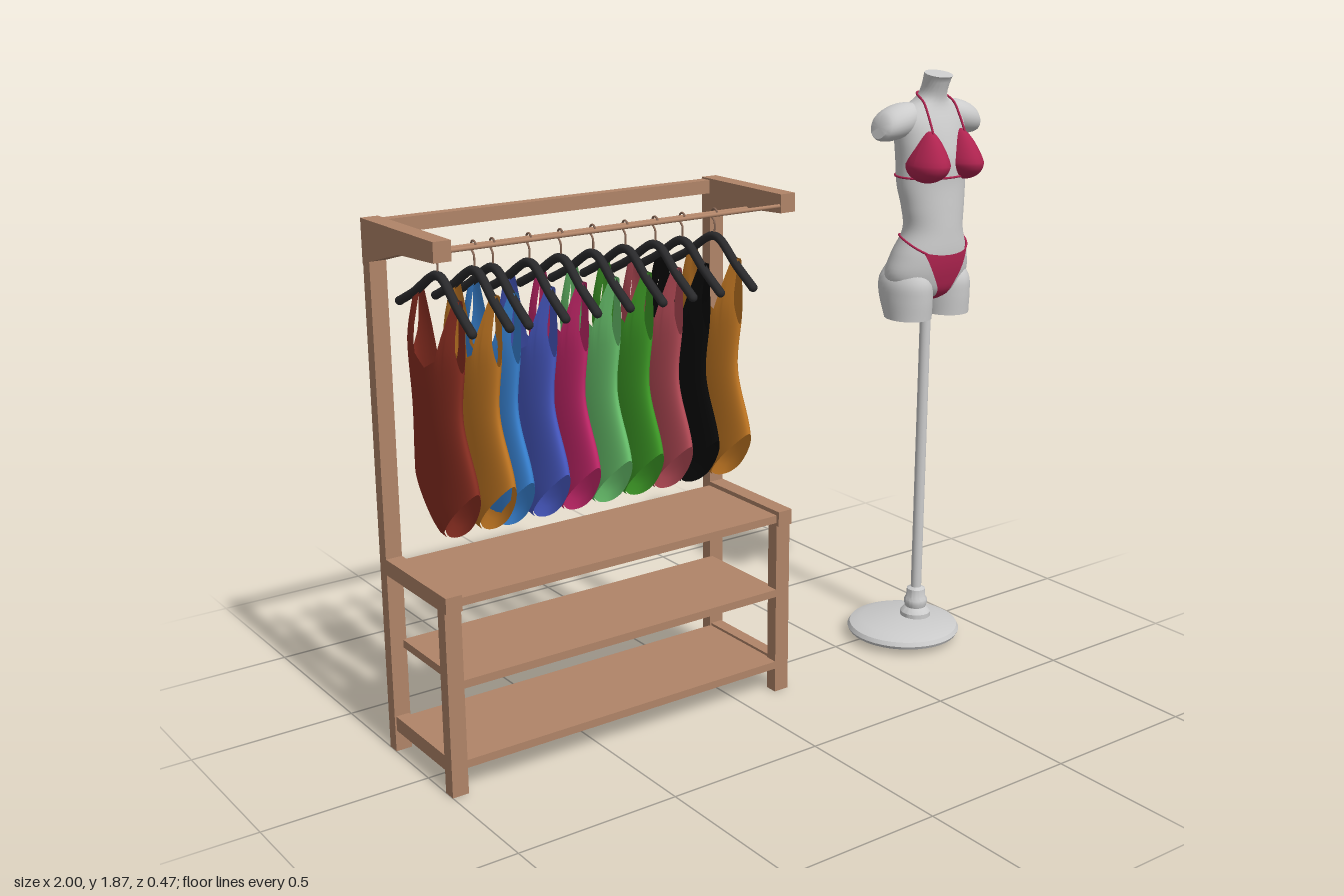
import * as THREE from 'three';
import { mergeVertices, toCreasedNormals } from 'three/addons/utils/BufferGeometryUtils.js';

const V = (x, y, z) => new THREE.Vector3(x, y, z);
const mat = (color, side = THREE.FrontSide) => new THREE.MeshStandardMaterial({ color, side });

function add(parent, name, geometry, material, x = 0, y = 0, z = 0) {
  const m = new THREE.Mesh(geometry, material);
  m.name = name;
  m.position.set(x, y, z);
  parent.add(m);
  return m;
}

// Smooth interpolation in a table of rows [key, a, b, ...] with ascending keys
function sample(table, key) {
  const n = table.length - 1;
  const k = Math.min(Math.max(key, table[0][0]), table[n][0]);
  let i = 0;
  while (i < n - 1 && k > table[i + 1][0]) i++;
  const p = table[i], q = table[i + 1], h = q[0] - p[0], t = (k - p[0]) / h;
  const o = table[Math.max(i - 1, 0)], r = table[Math.min(i + 2, n)];
  return p.slice(1).map((a, c) => {
    const b = q[c + 1];
    const m0 = (b - o[c + 1]) / (q[0] - o[0]) * h, m1 = (r[c + 1] - a) / (r[0] - p[0]) * h;
    return a + t * (m0 + t * (3 * (b - a) - 2 * m0 - m1 + t * (2 * (a - b) + m0 + m1)));
  });
}

// Surface from a rule fn(u, v); u runs right and v runs up when seen from its front
function grid(fn, nu, nv) {
  const pos = [], idx = [], w = nu + 1;
  for (let j = 0; j <= nv; j++)
    for (let i = 0; i <= nu; i++) pos.push(...fn(i / nu, j / nv).toArray());
  for (let j = 0; j < nv; j++)
    for (let i = 0; i < nu; i++) {
      const a = j * w + i;
      idx.push(a, a + 1, a + w + 1, a, a + w + 1, a + w);
    }
  const g = new THREE.BufferGeometry();
  g.setAttribute('position', new THREE.Float32BufferAttribute(pos, 3));
  g.setIndex(idx);
  g.computeVertexNormals();
  return g;
}

// Closed loft: ring(angle, t) for t in 0..1, with flat ends
function loft(ring, nu, nv) {
  const centre = t => ring(0, t).add(ring(Math.PI, t)).multiplyScalar(0.5);
  const g = grid((u, v) => {
    const j = Math.round(v * (nv + 2));
    if (j === 0) return centre(0);
    if (j === nv + 2) return centre(1);
    return ring((u % 1) * Math.PI * 2, (j - 1) / nv);
  }, nu, nv + 2);
  return toCreasedNormals(mergeVertices(g), 0.9);
}

const tube = (points, r, n = 32, closed = false) =>
  new THREE.TubeGeometry(new THREE.CatmullRomCurve3(points, closed), n, r, 8, closed);

function makeRack() {
  const g = new THREE.Group();
  g.name = 'clothesRack';
  const wood = mat(0xb08468);
  const box = (name, x0, x1, y0, y1, z0, z1) => add(g, name,
    new THREE.BoxGeometry(x1 - x0, y1 - y0, z1 - z0), wood, (x0 + x1) / 2, (y0 + y1) / 2, (z0 + z1) / 2);
  // Side frames: posts, front legs, rails and tapered top arms
  for (const [x, front] of [[-1, 0.175], [0.13, 0.15]]) {
    const x1 = x + 0.05;
    box('backPost', x, x1, 0, 1.54, -0.235, -0.197);
    box('frontLeg', x, x1, 0, 0.56, 0.105, 0.145);
    box('upperSideRail', x, x1, 0.55, 0.597, -0.2, 0.155);
    box('lowerSideRail', x + 0.005, x1 - 0.005, 0.065, 0.11, -0.2, 0.11);
    const s = new THREE.Shape([[-0.236, 1.44], [-0.02, 1.5], [front, 1.51], [front, 1.565], [-0.236, 1.565]]
      .map(p => new THREE.Vector2(...p)));
    const arm = new THREE.ExtrudeGeometry(s, { depth: 0.052, bevelEnabled: false }).rotateY(-Math.PI / 2);
    add(g, 'topArm', arm, wood, x1 + 0.001);
  }
  for (const y of [0.09, 0.33, 0.572]) box('shelf', -0.96, 0.14, y - 0.012, y + 0.012, -0.2, 0.145);
  box('topBackBar', -0.95, 0.13, 1.52, 1.56, -0.232, -0.197);
  // Hanging rail and thin front bar
  for (const [name, r, y, z] of [['hangingRail', 0.007, 1.5, -0.012], ['frontBar', 0.006, 1.53, 0.142]])
    add(g, name, new THREE.CylinderGeometry(r, r, 1.09, 12).rotateZ(Math.PI / 2), wood, -0.41, y, z);
  return g;
}

// Swimsuit body: y, half width, half thickness, x of the middle
const SUIT = [[0.70, 0.172, 0.004, -0.004], [0.715, 0.172, 0.018, -0.003], [0.76, 0.172, 0.031, 0],
  [0.87, 0.172, 0.037, 0], [1.06, 0.134, 0.03, -0.018], [1.22, 0.148, 0.036, -0.016],
  [1.28, 0.15, 0.032, -0.012], [1.385, 0.155, 0.008, 0]];
const SUIT_TOP = [[0, 1.19], [0.4, 1.22], [0.52, 1.3], [0.6, 1.385], [0.8, 1.385], [0.88, 1.27], [1, 1.2]];

function suitPanel(side) {
  const lerp = (k) => {
    const i = Math.max(1, SUIT_TOP.findIndex(p => p[0] >= k - 1e-9));
    const [a, b] = [SUIT_TOP[i - 1], SUIT_TOP[i]];
    return a[1] + (b[1] - a[1]) * (k - a[0]) / (b[0] - a[0]);
  };
  return grid((u, v) => {
    const s = Math.sin((u - 0.5) * Math.PI), k = Math.min(Math.abs(s), 1);
    const bottom = 0.70 + 0.17 * (side > 0 ? k * k : Math.pow(k, 0.9)); // full seat, high-cut front
    const y = bottom + (lerp(k) - bottom) * v;
    const [w, t, c] = sample(SUIT, y);
    return V(c + side * t * Math.sqrt(1 - k * k), y, -side * s * w);
  }, 48, 18);
}

function makeGarments() {
  const g = new THREE.Group();
  g.name = 'hangingSwimsuits';
  const panels = [suitPanel(1), suitPanel(-1)];
  const arms = tube([V(-0.015, 1.318, 0.205), V(-0.008, 1.365, 0.12), V(0, 1.43, 0.02),
    V(0, 1.43, -0.02), V(-0.008, 1.37, -0.12), V(-0.015, 1.33, -0.2)], 0.013, 28);
  const hook = tube([V(0, 1.43, 0), V(0, 1.475, 0), V(0, 1.49, -0.013), V(0, 1.508, -0.011),
    V(0, 1.514, 0), V(0, 1.508, 0.011), V(0, 1.495, 0.013)], 0.003, 24);
  const dark = mat(0x2a2a2c), wire = mat(0x8a6a58);
  const items = [[-0.895, 0x8c2f22], [-0.785, 0xc67a24], [-0.728, 0x3a86d8], [-0.615, 0x4a5cc8], [-0.515, 0xc8286c],
    [-0.41, 0x6cc870], [-0.302, 0x40a028], [-0.2, 0xb84c58], [-0.105, 0x080808], [0.01, 0xc67a24]];
  for (const [x, color] of items) {
    const item = new THREE.Group();
    item.name = 'swimsuitOnHanger';
    item.position.set(x, 0, -0.01);
    const cloth = mat(color, THREE.DoubleSide);
    add(item, 'suitBack', panels[0], cloth);
    add(item, 'suitFront', panels[1], cloth);
    add(item, 'hangerArms', arms, dark);
    add(item, 'hangerHook', hook, wire);
    for (const s of [-1, 1]) add(item, 'hangerTip', new THREE.SphereGeometry(0.013, 10, 8), dark, -0.015, s > 0 ? 1.318 : 1.33, s > 0 ? 0.205 : -0.2);
    g.add(item);
  }
  return g;
}

// Torso: y, half width, front z, back z
const TORSO = [[1.15, 0.03, 0.08, 0.03], [1.18, 0.11, 0.125, -0.025], [1.23, 0.15, 0.145, -0.05],
  [1.3, 0.136, 0.157, -0.038], [1.38, 0.104, 0.156, -0.008], [1.45, 0.11, 0.152, -0.012],
  [1.52, 0.12, 0.148, -0.03], [1.6, 0.12, 0.148, -0.042], [1.67, 0.126, 0.132, -0.042],
  [1.72, 0.128, 0.115, -0.036], [1.755, 0.1, 0.1, -0.022], [1.778, 0.058, 0.095, -0.006],
  [1.805, 0.042, 0.1, 0.012], [1.86, 0.046, 0.12, 0.035]];

function torsoPoint(a, y, off = 0) {
  const [w, f, b] = sample(TORSO, y);
  return V((w + off) * Math.sin(a), y, (f + b) / 2 + ((f - b) / 2 + off) * Math.cos(a));
}

function makeMannequin() {
  const g = new THREE.Group();
  g.name = 'mannequin';
  g.position.x = 0.8;
  const grey = mat(0xcccccc), cloth = mat(0xb02450, THREE.DoubleSide);
  // Stand
  const lathe = pts => toCreasedNormals(new THREE.LatheGeometry(pts.map(p => new THREE.Vector2(...p)), 40), 0.6);
  add(g, 'standBase', lathe([[0, 0.045], [0.165, 0.02], [0.18, 0.022], [0.185, 0.032], [0.178, 0.045], [0.14, 0.058], [0, 0.062]]), grey, -0.05, 0, 0.05);
  add(g, 'standCollar', lathe([[0.05, 0.055], [0.05, 0.075], [0.042, 0.085], [0.034, 0.092], [0.038, 0.105],
    [0.038, 0.118], [0.032, 0.128], [0.03, 0.155], [0.017, 0.162]]), grey, 0, 0, 0.055);
  add(g, 'pole', new THREE.CylinderGeometry(0.0175, 0.0175, 1.12, 20), grey, 0, 0.62, 0.055);
  // Body
  add(g, 'torso', loft((a, t) => {
    const p = torsoPoint(a, 1.15 + 0.71 * t);
    if (t === 1) p.y += (0.075 - p.z) * 0.2;
    return p;
  }, 48, 56), grey);
  const LEG = [[1.1, 0.072, 0.138, -0.02], [1.17, 0.075, 0.143, -0.05], [1.22, 0.07, 0.14, -0.055], [1.27, 0.04, 0.11, -0.03]];
  const ARM = [[0.05, 0.035, 1.735], [0.1, 0.052, 1.722], [0.14, 0.054, 1.715], [0.18, 0.046, 1.708], [0.195, 0.034, 1.705]];
  for (const s of [-1, 1]) {
    add(g, 'thigh', loft((a, t) => {
      const y = 1.1 + 0.17 * t, [w, f, b] = sample(LEG, y);
      return V(s * 0.08 + w * Math.sin(a), y, (f + b) / 2 + (f - b) / 2 * Math.cos(a));
    }, 32, 14), grey);
    add(g, 'shoulder', loft((a, t) => {
      const x = 0.05 + 0.145 * t, [r, y] = sample(ARM, x);
      return V(s * (x - 0.25 * r * Math.cos(a) * t), y + r * Math.cos(a), 0.03 + s * r * 1.12 * Math.sin(a));
    }, 28, 14), grey);
    // Teardrop cup with its neck string
    const cup = new THREE.SphereGeometry(1, 28, 20), p = cup.attributes.position;
    for (let i = 0; i < p.count; i++) {
      const y = p.getY(i), k = y > 0 ? 1 - 0.4 * y : 1;
      p.setXYZ(i, p.getX(i) * 0.058 * k - s * 0.006 * y, y * (y > 0 ? 0.1 : 0.058), p.getZ(i) * 0.085 * k);
    }
    cup.computeVertexNormals();
    add(g, 'bikiniCup', cup, cloth, s * 0.07, 1.592, 0.115);
    add(g, 'neckString', tube([V(s * 0.066, 1.68, 0.135), V(s * 0.064, 1.73, 0.11), V(s * 0.06, 1.775, 0.08),
      V(s * 0.045, 1.798, 0.03), V(0, 1.8, 0.004)], 0.0035), cloth);
    // Hip string from the front panel, over the hip, to the back panel
    const string = [];
    for (let i = 0; i <= 12; i++) {
      const t = i / 12, a = 0.65 + (Math.PI - 1) * t;
      string.push(torsoPoint(s * a, 1.315 + 0.045 * Math.sin(t * Math.PI * 0.75), 0.003));
    }
    add(g, 'hipString', tube(string, 0.0035), cloth);
  }
  // Chest band
  const band = [];
  for (let i = 0; i < 24; i++) band.push(torsoPoint(i / 24 * Math.PI * 2, 1.548, 0.002));
  add(g, 'chestBand', tube(band, 0.0035, 64, true), cloth);
  // Bikini bottom panels follow the body
  const panel = (back, widths) => grid((u, v) => {
    const dip = 0.012 * (1 - (2 * u - 1) ** 2) * v;
    const y = 1.155 + 0.165 * v - dip;
    const [half] = sample(widths, v), [w] = sample(TORSO, y);
    const a = Math.asin(Math.min(1, half / w)) * (2 * u - 1);
    return torsoPoint(back ? Math.PI + a : a, y, 0.004);
  }, 16, 16);
  add(g, 'bikiniFront', panel(false, [[0, 0.018], [0.25, 0.028], [0.6, 0.058], [1, 0.088]]), cloth);
  add(g, 'bikiniBack', panel(true, [[0, 0.01], [0.4, 0.014], [0.7, 0.03], [1, 0.068]]), cloth);
  return g;
}

export function createModel() {
  const model = new THREE.Group();
  model.name = 'swimwearDisplay';
  model.add(makeRack(), makeGarments(), makeMannequin());
  return model;
}
